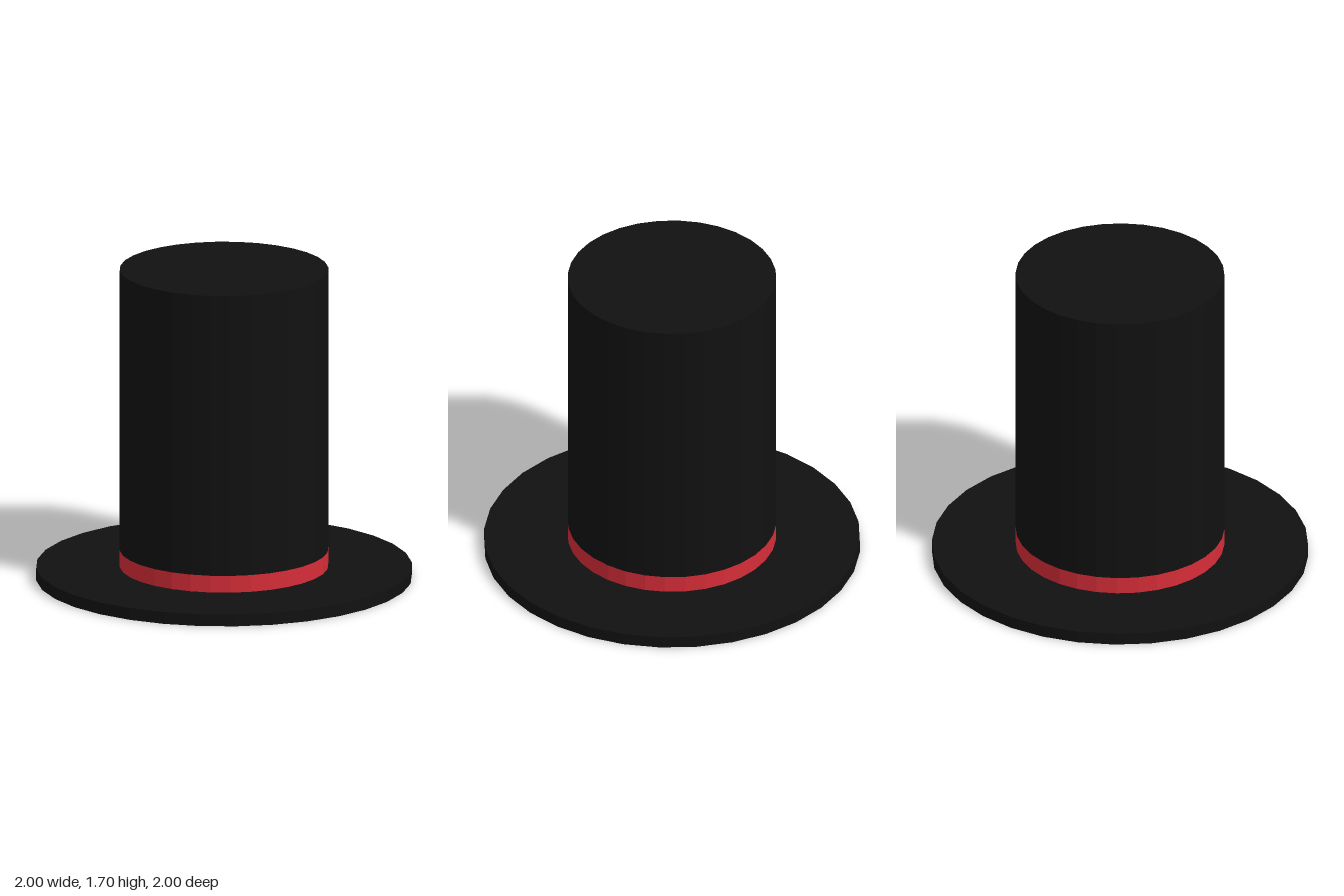
import * as THREE from 'three';

const SIDES = 32;

export function createModel() {
  const hat = new THREE.Group();
  hat.name = 'topHat';

  const felt = new THREE.MeshStandardMaterial({ color: 0x111111, flatShading: true });
  const ribbon = new THREE.MeshStandardMaterial({ color: 0xd62d38, flatShading: true });

  // Upright faceted disc between two heights
  function addDisc(name, radius, bottom, top, material, open = false) {
    const geometry = new THREE.CylinderGeometry(radius, radius, top - bottom, SIDES, 1, open);
    const mesh = new THREE.Mesh(geometry, material);
    mesh.name = name;
    mesh.position.y = (bottom + top) / 2;
    hat.add(mesh);
  }

  addDisc('brim', 1, 0, 0.065, felt);
  // Band sits flush under the crown
  addDisc('band', 0.555, 0.065, 0.157, ribbon, true);
  addDisc('crown', 0.555, 0.157, 1.697, felt);

  return hat;
}
